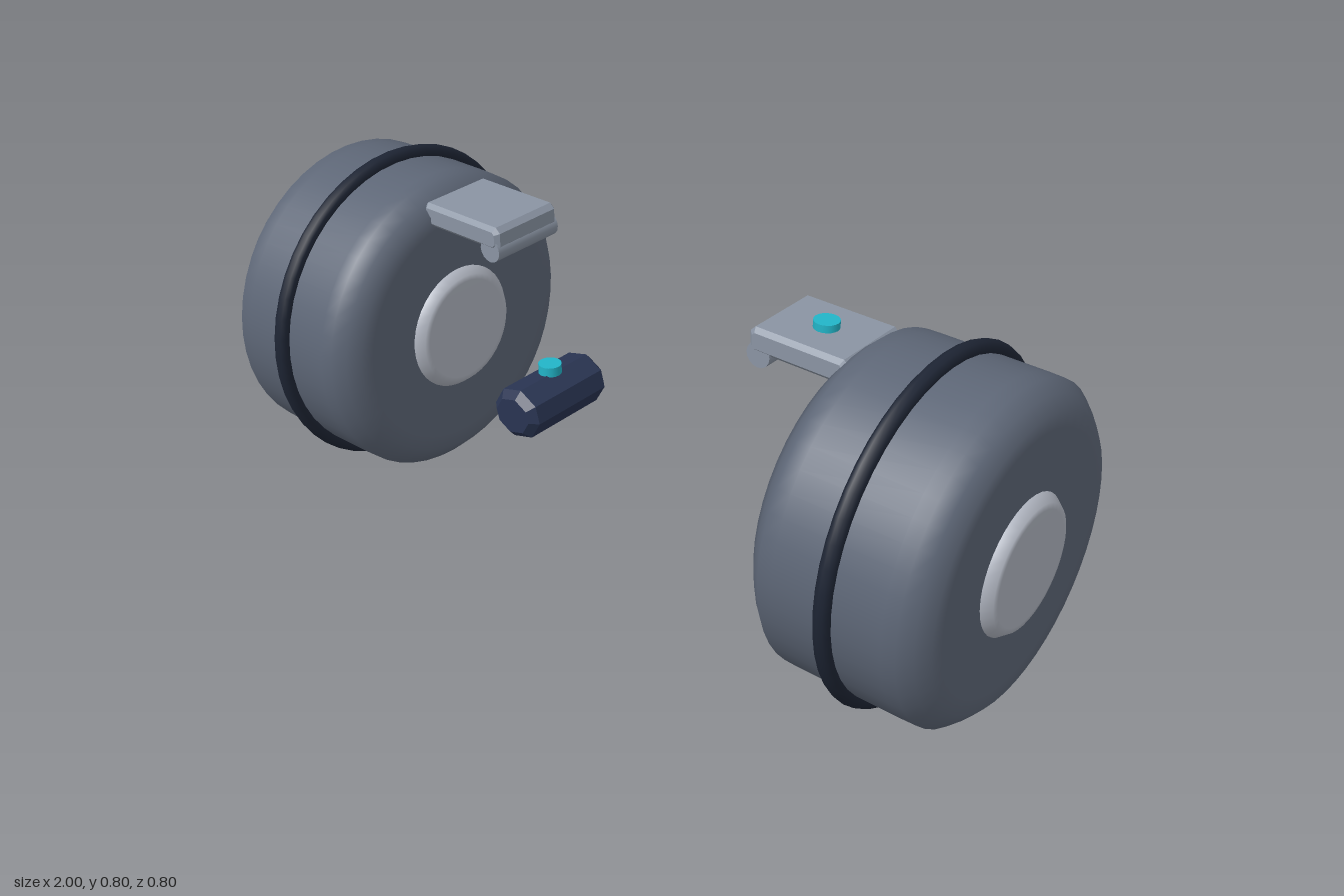
import * as THREE from 'three';

const mat = (color, opts = {}) => new THREE.MeshStandardMaterial({ color, ...opts });
const wheelMat = mat(0x5d6676);
const ringMat = mat(0x1d2433);
const hubMat = mat(0xb0b5c0);
const armMat = mat(0x8a94a3);
const plateMat = mat(0xa9b0bc);
const bodyMat = mat(0x29345280 >>> 8);
const buttonMat = mat(0x22b5c8);

function add(parent, name, geometry, material, x = 0, y = 0, z = 0) {
  const mesh = new THREE.Mesh(geometry, material);
  mesh.name = name;
  mesh.position.set(x, y, z);
  parent.add(mesh);
  return mesh;
}

// Box along z with corners cut by c and bevelled ends of size b
function chamferedBox(w, h, d, c, b) {
  const x = w / 2 - b, y = h / 2 - b, k = Math.max(c - b * 0.586, 0.001);
  const outline = [[x - k, -y], [x, -y + k], [x, y - k], [x - k, y],
    [-x + k, y], [-x, y - k], [-x, -y + k], [-x + k, -y]];
  const shape = new THREE.Shape(outline.map(([px, py]) => new THREE.Vector2(px, py)));
  const geometry = new THREE.ExtrudeGeometry(shape, {
    depth: d - 2 * b, bevelEnabled: true, bevelSize: b, bevelThickness: b, bevelSegments: 1,
  });
  return geometry.translate(0, 0, b - d / 2);
}

// Solid of revolution about x, mirrored from half a profile of [radius, distance]
function axle(half, segments = 48) {
  const points = [
    ...half.map(([r, a]) => new THREE.Vector2(r, -a)),
    ...half.slice().reverse().map(([r, a]) => new THREE.Vector2(r, a)),
  ];
  return new THREE.LatheGeometry(points, segments).rotateZ(-Math.PI / 2);
}

function button(parent, x, y, z) {
  add(parent, 'button', new THREE.CylinderGeometry(0.028, 0.028, 0.024, 20), buttonMat, x, y, z);
}

// Wheel with hub, centre ring and the inward arm; side is +1 or -1
function createWheel(side) {
  const unit = new THREE.Group();
  unit.name = side > 0 ? 'leftWheelUnit' : 'rightWheelUnit';
  const x = side * 0.77, y = 0.402;

  add(unit, 'wheel', axle([[0, 0.207], [0.285, 0.207], [0.32, 0.206], [0.347, 0.184],
    [0.371, 0.158], [0.372, 0.125]]), wheelMat, x, y);
  add(unit, 'hub', axle([[0, 0.229], [0.125, 0.229], [0.138, 0.227], [0.154, 0.207],
    [0.155, 0.18]], 40), hubMat, x, y);
  add(unit, 'ring', new THREE.TorusGeometry(0.38, 0.018, 10, 48).rotateY(Math.PI / 2), ringMat, x, y);

  // Arm with a round lip under its free end
  add(unit, 'arm', chamferedBox(0.24, 0.056, 0.2, 0.012, 0.01), armMat, side * 0.472, 0.717, -0.025);
  add(unit, 'armLip', new THREE.CylinderGeometry(0.029, 0.029, 0.196, 16).rotateX(Math.PI / 2),
    armMat, side * 0.378, 0.687, -0.025);
  return unit;
}

export function createModel() {
  const model = new THREE.Group();
  model.name = 'model';

  const left = createWheel(1);
  button(left, 0.475, 0.75, -0.025);
  model.add(left, createWheel(-1));

  // Tilted grip with a button on top
  const grip = add(model, 'grip', chamferedBox(0.134, 0.12, 0.266, 0.038, 0.018), bodyMat,
    -0.315, 0.282, -0.047);
  grip.rotation.z = THREE.MathUtils.degToRad(15);
  button(model, -0.315, 0.356, -0.047);

  // Small flat pedal below the grip
  add(model, 'pedal', chamferedBox(0.13, 0.024, 0.16, 0.006, 0.005), plateMat, -0.398, 0.197, -0.12);
  return model;
}
